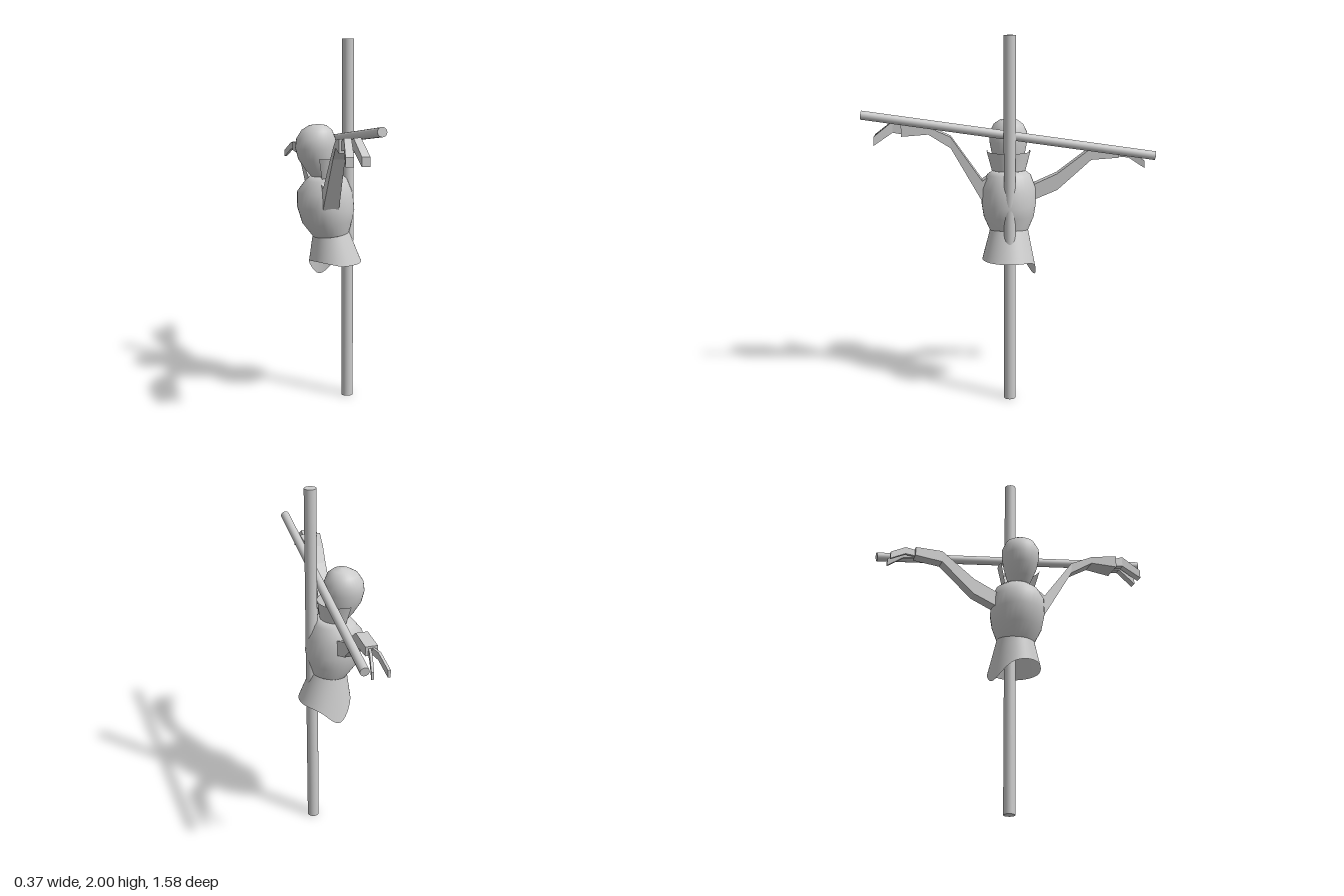
import * as THREE from 'three';

const smooth = new THREE.MeshStandardMaterial({ color: 0xcccccc, side: THREE.DoubleSide });
const flat = new THREE.MeshStandardMaterial({ color: 0xcccccc, side: THREE.DoubleSide, flatShading: true });

// Joins points(i, angle) into a skin of stacked rings, bottom to top; a partial arc stays open
function ringSkin(name, rows, point, from = 0, arc = Math.PI * 2, segs = 32) {
  const closed = arc > 6.28;
  const cols = closed ? segs : segs + 1;
  const pos = [], idx = [];
  for (let i = 0; i < rows; i++) {
    for (let j = 0; j < cols; j++) pos.push(...point(i, from + (arc * j) / segs));
  }
  for (let i = 0; i < rows - 1; i++) {
    for (let j = 0; j < segs; j++) {
      const k = (j + 1) % cols;
      const a = i * cols + j, b = a + cols, c = i * cols + k, d = c + cols;
      idx.push(a, b, c, b, d, c);
    }
  }
  const geo = new THREE.BufferGeometry();
  geo.setAttribute('position', new THREE.Float32BufferAttribute(pos, 3));
  geo.setIndex(idx);
  geo.computeVertexNormals();
  const mesh = new THREE.Mesh(geo, smooth);
  mesh.name = name;
  return mesh;
}

// Elliptic ring: [centre x, y, radius x, radius z, tilt]
const ringPoint = (rings) => (i, a) => {
  const [cx, y, rx, rz, tilt = 0] = rings[i];
  const dx = rx * Math.cos(a);
  return [cx + dx, y + tilt * dx, rz * Math.sin(a)];
};

// Four-sided limb through sections [z, top y, bottom y, min x, max x]
function limb(name, sections) {
  const pos = [], idx = [];
  const dir = Math.sign(sections[1][0] - sections[0][0]);
  const quad = (a, b, c, d) => idx.push(...(dir > 0 ? [a, b, c, a, c, d] : [a, c, b, a, d, c]));
  for (const [z, top, bot, x0, x1] of sections) {
    pos.push(x0, bot, z, x1, bot, z, x1, top, z, x0, top, z);
  }
  const n = sections.length;
  for (let i = 0; i < n - 1; i++) {
    for (let j = 0; j < 4; j++) {
      const k = (j + 1) % 4;
      quad(i * 4 + j, i * 4 + k, i * 4 + 4 + k, i * 4 + 4 + j);
    }
  }
  quad(3, 2, 1, 0);
  quad(n * 4 - 4, n * 4 - 3, n * 4 - 2, n * 4 - 1);
  const geo = new THREE.BufferGeometry();
  geo.setAttribute('position', new THREE.Float32BufferAttribute(pos, 3));
  geo.setIndex(idx);
  geo.computeVertexNormals();
  const mesh = new THREE.Mesh(geo, flat);
  mesh.name = name;
  return mesh;
}

function rod(name, radius, from, to) {
  const a = new THREE.Vector3(...from), b = new THREE.Vector3(...to);
  const d = b.clone().sub(a);
  const mesh = new THREE.Mesh(new THREE.CylinderGeometry(radius, radius, d.length(), 24), smooth);
  mesh.position.copy(a).add(b).multiplyScalar(0.5);
  mesh.quaternion.setFromUnitVectors(new THREE.Vector3(0, 1, 0), d.normalize());
  mesh.name = name;
  return mesh;
}

export function createModel() {
  const model = new THREE.Group();
  model.name = 'scarecrow';

  // Post and slanted crossbar
  model.add(rod('post', 0.032, [0.106, 0, 0], [0.106, 2, 0]));
  model.add(rod('crossbar', 0.024, [0.055, 1.355, -0.788], [0.055, 1.582, 0.788]));

  // Torso, leaning a little
  const torso = [
    [0.01, 0.943, 0.1, 0.105, 0.12],
    [-0.01, 1.015, 0.138, 0.138, 0.06],
    [-0.019, 1.09, 0.158, 0.15, -0.08],
    [-0.022, 1.175, 0.153, 0.147, -0.04],
    [-0.015, 1.245, 0.113, 0.12, 0.03],
    [-0.015, 1.268, 0.085, 0.09, 0.03],
    [-0.015, 1.272, 0.001, 0.001, 0],
  ];
  model.add(ringSkin('torso', torso.length, ringPoint(torso)));

  // Flared open skirt, its ragged hem drooping on one side
  const rows = 6;
  const droop = Math.atan2(-0.95, -0.35);
  model.add(ringSkin('skirt', rows, (i, a) => {
    const t = 1 - i / (rows - 1);
    const c = Math.cos(a), s = Math.sin(a);
    const off = Math.acos(Math.min(1, Math.max(-1, Math.cos(a - droop))));
    const hem = 0.785 - 0.1 * Math.exp(-((off / 0.62) ** 2)) + 0.02 * Math.max(0, -c) * Math.max(0, s + 0.6);
    const waist = 0.943 + 0.012 * c;
    return [0.01 + 0.025 * t + (0.1 + 0.045 * t) * c, waist + (hem - waist) * t, (0.105 + 0.042 * t) * s];
  }, 0, Math.PI * 2, 48));

  // Head, egg-shaped, tapering to the neck
  const head = [
    [-0.035, 1.25, 0.05, 0.05],
    [-0.055, 1.3, 0.075, 0.07],
    [-0.07, 1.36, 0.1, 0.092],
    [-0.075, 1.42, 0.11, 0.104],
    [-0.073, 1.47, 0.106, 0.103],
    [-0.068, 1.515, 0.083, 0.082],
    [-0.062, 1.54, 0.048, 0.048],
    [-0.058, 1.548, 0.001, 0.001],
  ];
  model.add(ringSkin('head', head.length, ringPoint(head)));

  // Turned-up collar, open at the face
  const collar = [[-0.035, 1.25, 0.09, 0.088], [-0.05, 1.37, 0.12, 0.12]];
  model.add(ringSkin('collar', 2, ringPoint(collar), -1.85, 3.7));

  // Left-hand arm: wide sleeve raised along the crossbar, two broad fingers
  const raised = new THREE.Group();
  raised.name = 'raisedArm';
  raised.add(limb('raisedSleeve', [
    [0.11, 1.24, 1.09, -0.07, 0.02], [0.145, 1.215, 1.1, -0.07, 0.018], [0.315, 1.455, 1.395, -0.06, 0.005],
    [0.435, 1.51, 1.47, -0.078, 0.01], [0.58, 1.53, 1.46, -0.1, 0.018],
  ]));
  for (const [x, end] of [[-0.068, -0.085], [-0.02, -0.005]]) {
    raised.add(limb('broadFinger', [
      [0.57, 1.515, 1.47, x - 0.019, x + 0.019],
      [0.625, 1.54, 1.48, x - 0.019, x + 0.019],
      [0.727, 1.46, 1.412, end - 0.021, end + 0.021],
    ]));
  }
  model.add(raised);

  // Opposite arm: lower, with two thin spread fingers
  const lowered = new THREE.Group();
  lowered.name = 'loweredArm';
  lowered.add(limb('loweredSleeve', [
    [-0.12, 1.185, 1.1, -0.065, 0.003], [-0.265, 1.25, 1.16, -0.065, 0],
    [-0.45, 1.39, 1.325, -0.065, -0.003], [-0.6, 1.385, 1.335, -0.07, -0.006],
  ]));
  for (const [x, end] of [[-0.045, -0.083], [-0.03, 0]]) {
    const mid = x + (end - x) * 0.43;
    lowered.add(limb('thinFinger', [
      [-0.59, 1.375, 1.34, x - 0.007, x + 0.007],
      [-0.655, 1.375, 1.335, mid - 0.007, mid + 0.007],
      [-0.74, 1.32, 1.28, end - 0.007, end + 0.007],
    ]));
  }
  model.add(lowered);

  return model;
}
